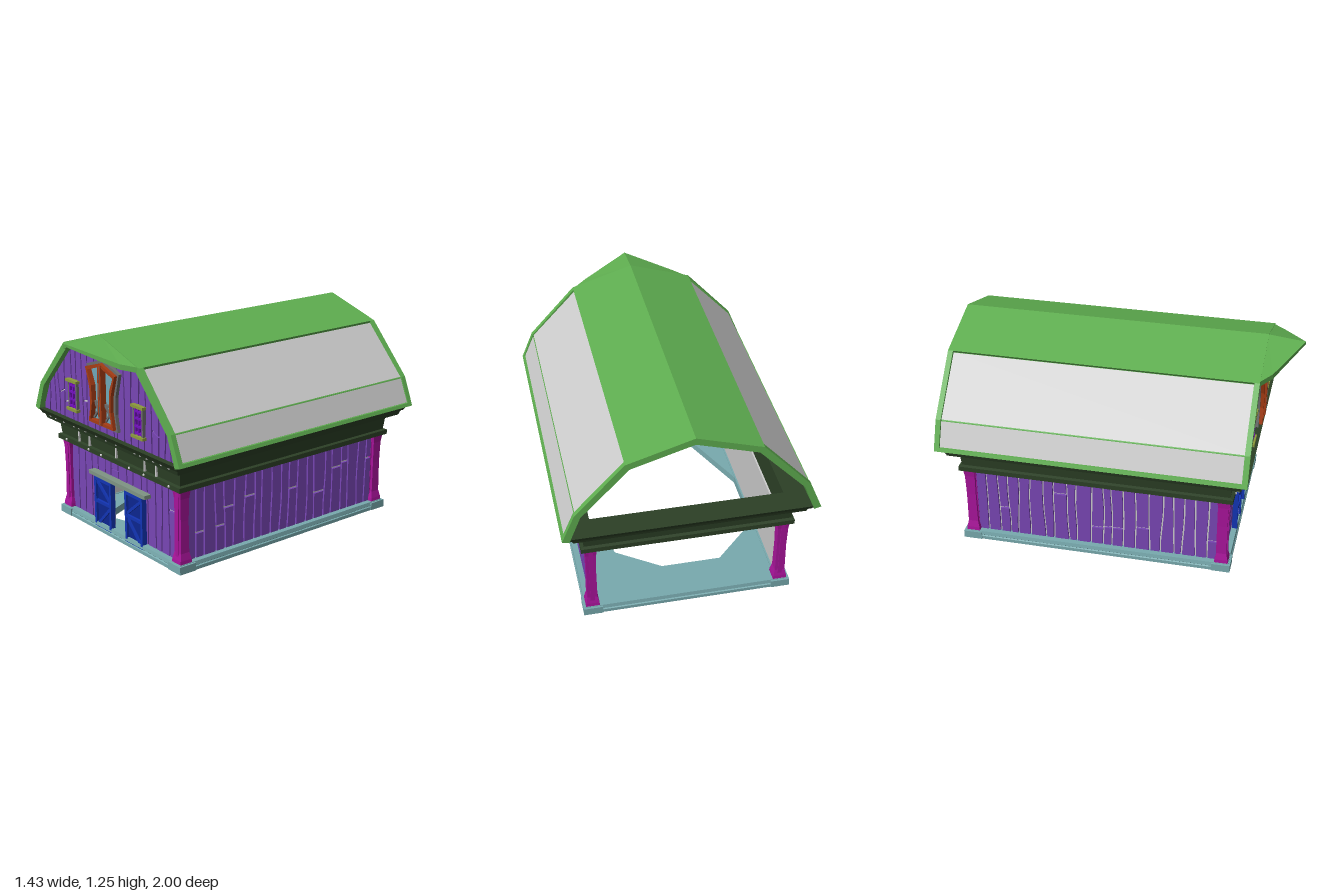
import * as THREE from 'three';
import { mergeGeometries } from 'three/addons/utils/BufferGeometryUtils.js';

const mat = (color, side = THREE.FrontSide) => new THREE.MeshStandardMaterial({ color, side, flatShading: true });
const GREY = mat(0xcccccc, THREE.DoubleSide), PURPLE = mat(0x7846b4), GREEN = mat(0x5fae50, THREE.DoubleSide);
const BEAM = mat(0x2c4026), MAGENTA = mat(0xa8149a), TEAL = mat(0x78aaae), BLUE = mat(0x1234b4), NAVY = mat(0x0c2690);
const RED = mat(0xa63c14), GLASS = mat(0x70a8b8), OLIVE = mat(0x8c9a3c), VIOLET = mat(0x7410c0), TRIM = mat(0x6c6c6c);
const RAIL = mat(0x7f9484), DARK = mat(0x2c1c48);

export function createModel() {
  const root = new THREE.Group();
  root.name = 'barn';
  let seed = 7;
  const rnd = () => (seed = (seed * 16807) % 2147483647) / 2147483647;

  const add = (name, geo, material, parent = root) => {
    const m = new THREE.Mesh(geo, material);
    m.name = name;
    parent.add(m);
    return m;
  };
  const box = (x0, x1, y0, y1, z0, z1) =>
    new THREE.BoxGeometry(x1 - x0, y1 - y0, z1 - z0).translate((x0 + x1) / 2, (y0 + y1) / 2, (z0 + z1) / 2);
  const shape = (pts) => new THREE.Shape(pts.map(([x, y]) => new THREE.Vector2(x, y)));
  const slab = (pts, z0, z1, hole) => {
    const s = shape(pts);
    if (hole) s.holes.push(shape(hole));
    return new THREE.ExtrudeGeometry(s, { depth: z1 - z0, bevelEnabled: false }).translate(0, 0, z0);
  };
  // slanted bar between two points on a front face
  const bar = (x1, y1, x2, y2, w, z0, z1) =>
    new THREE.BoxGeometry(Math.hypot(x2 - x1, y2 - y1), w, z1 - z0)
      .rotateZ(Math.atan2(y2 - y1, x2 - x1)).translate((x1 + x2) / 2, (y1 + y2) / 2, (z0 + z1) / 2);
  const flip = (pts) => pts.map(([x, ...r]) => [-x, ...r]).reverse();
  const faces = (polys) => {
    const pos = [];
    for (const p of polys) for (let i = 1; i < p.length - 1; i++) pos.push(...p[0], ...p[i], ...p[i + 1]);
    const g = new THREE.BufferGeometry();
    g.setAttribute('position', new THREE.Float32BufferAttribute(pos, 3));
    g.computeVertexNormals();
    return g;
  };
  // closed moulding profile [outset, y] swept round a rectangle centred at z = -0.1
  const ring = (hx, hz, profile) => {
    const corners = [[1, 1], [1, -1], [-1, -1], [-1, 1]], polys = [];
    const at = (c, k) => {
      const [sx, sz] = corners[c % 4], [o, y] = profile[k % profile.length];
      return [sx * (hx + o), y, sz * (hz + o) - 0.1];
    };
    for (let c = 0; c < 4; c++) for (let k = 0; k < profile.length; k++)
      polys.push([at(c, k), at(c + 1, k), at(c + 1, k + 1), at(c, k + 1)]);
    return faces(polys);
  };
  // row of crooked planks with gaps between them
  const planks = (u0, u1, n, lo, hi, z) => {
    const edges = [], geos = [];
    for (let i = 0; i <= n; i++) {
      const k = i === 0 || i === n ? 0 : 1;
      const u = u0 + (u1 - u0) * (i + k * (rnd() - 0.5) * 0.4) / n;
      const a = k * 0.005 * rnd(), ph = rnd() * 6, s = k * (rnd() - 0.5) * 0.03;
      edges.push((t) => u + a * Math.sin(t * 6 + ph) + s * (t - 0.5));
    }
    for (let i = 0; i < n; i++) {
      const cut = 0.25 + rnd() * 0.5;
      const parts = rnd() < 0.3 ? [[0, cut - 0.015], [cut + 0.015, 1]] : [[0, 1]];
      for (const [t0, t1] of parts) {
        const left = [], right = [];
        for (let j = 0; j <= 5; j++) {
          const t = t0 + (t1 - t0) * j / 5, l = edges[i](t) + 0.005, r = edges[i + 1](t) - 0.005;
          left.push([l, lo + t * (hi(l) - lo)]);
          right.push([r, lo + t * (hi(r) - lo)]);
        }
        geos.push(slab([...right, ...left.reverse()], z, z + 0.014));
      }
    }
    return mergeGeometries(geos);
  };

  // stone base, corner blocks and floor with its opening
  add('baseRim', ring(0.585, 0.785, [[0.015, 0], [0.015, 0.02], [0.008, 0.024], [0.012, 0.028], [0.008, 0.05], [-0.06, 0.05], [-0.06, 0]]), TEAL);
  const hole = [[-0.25, -0.65], [0.1, -0.65], [0.35, -0.48], [0.48, -0.09], [0.4, 0.3], [0.05, 0.5], [-0.28, 0.6], [-0.54, 0.02], [-0.52, -0.38]];
  add('floor', slab([[-0.56, -0.86], [0.56, -0.86], [0.56, 0.66], [-0.56, 0.66]], 0, 0.045, hole).rotateX(Math.PI / 2).translate(0, 0.046, 0), TEAL);

  // corner posts
  const postProfile = [[0.04, 0.05], [0.038, 0.07], [0.029, 0.11], [0.027, 0.3], [0.03, 0.43], [0.038, 0.49]]
    .map(([r, y]) => new THREE.Vector2(r * Math.SQRT2, y));
  for (const x of [-0.55, 0.55]) for (const z of [-0.85, 0.65]) {
    add('cornerPost', new THREE.LatheGeometry(postProfile, 4, Math.PI / 4).translate(x, 0, z), MAGENTA);
    add('postRib', box(x - 0.012, x + 0.012, 0.06, 0.48, z - 0.034, z + 0.034), MAGENTA);
    add('baseCorner', box(x - 0.055, x + 0.055, 0, 0.046, z - 0.055, z + 0.055), TEAL);
  }

  // lower walls: grey backing with planks on the outside
  const top = () => 0.49;
  add('frontWallBacking', slab([[-0.54, 0.04], [-0.11, 0.04], [-0.11, 0.345], [0.11, 0.345], [0.11, 0.04], [0.54, 0.04], [0.54, 0.49], [-0.54, 0.49]], 0.635, 0.646), GREY);
  add('frontPlanks', mergeGeometries([
    planks(-0.53, -0.11, 6, 0.05, top, 0.646), planks(-0.11, 0.11, 3, 0.345, top, 0.646), planks(0.11, 0.53, 6, 0.05, top, 0.646)]), PURPLE);
  for (const s of [-1, 1]) {
    const side = new THREE.Group();
    side.name = 'sideWall';
    side.rotation.y = s * Math.PI / 2;
    side.position.z = -0.1;
    add('sideBacking', box(-0.75, 0.75, 0.04, 0.49, 0.535, 0.546), GREY, side);
    add('sidePlanks', planks(-0.73, 0.73, 21, 0.05, top, 0.546), PURPLE, side);
    root.add(side);
  }

  // dark beam belt and cornice
  add('beltCornice', ring(0.585, 0.785, [[0.02, 0.48], [0.02, 0.508], [0.002, 0.513], [0.012, 0.605], [0.065, 0.607], [0.075, 0.635],
    [0.085, 0.638], [0.105, 0.67], [-0.04, 0.67], [-0.04, 0.48]]), BEAM);
  const stud = (x, y, z) => new THREE.SphereGeometry(0.008, 8, 6).translate(x, y, z);
  add('cornicePins', mergeGeometries([-0.59, -0.53, -0.44, -0.33, -0.28, -0.21, -0.1, 0, 0.1, 0.28, 0.33, 0.39, 0.45, 0.52, 0.59]
    .map((x) => stud(x, 0.635, 0.762))), GREY);
  add('beltPins', mergeGeometries([-0.51, -0.27, -0.14, 0.14, 0.28, 0.51].map((x) => stud(x, 0.495, 0.706))), GREY);
  for (const x of [-0.385, -0.275, 0, 0.275, 0.385]) add('beltStrap', box(x - 0.005, x + 0.005, 0.512, 0.606, 0.68, 0.7), GREY);

  // gable
  const inner = [[0, 1.215], [0.345, 1.108], [0.612, 0.825], [0.675, 0.66]];
  const gableTop = (x) => {
    const a = Math.min(Math.abs(x), 0.674), i = inner.findIndex((p) => p[0] > a), [p, q] = [inner[i - 1], inner[i]];
    return p[1] + (q[1] - p[1]) * (a - p[0]) / (q[0] - p[0]);
  };
  add('gableBacking', slab([...flip(inner), ...inner.slice(1)].reverse(), 0.73, 0.741), GREY);
  add('gablePlanks', mergeGeometries([planks(-0.665, 0, 11, 0.662, gableTop, 0.741), planks(0, 0.665, 11, 0.662, gableTop, 0.741)]), PURPLE);

  // gambrel roof: end ribs, recessed shell, grey side panels
  const outer = [[0, 1.255], [0.37, 1.14], [0.645, 0.84], [0.715, 0.67]];
  const shell = [[0, 1.255], [0.37, 1.14], [0.36, 1.125], [0.634, 0.833], [0.695, 0.69], [0.707, 0.69], [0.715, 0.67]];
  const band = (out) => [...flip(out), ...out.slice(1), ...[...inner].reverse(), ...flip(inner).reverse().slice(1)];
  add('roofShell', slab(band(shell), -0.97, 0.762), GREEN);
  add('frontRoofRib', slab(band(outer), 0.76, 0.79), GREEN);
  add('backRoofRib', slab(band(outer), -1, -0.97), GREEN);
  for (const s of [-1, 1]) for (const [p, q] of [[[0.364, 1.125], [0.634, 0.838]], [[0.638, 0.829], [0.697, 0.691]]]) {
    const strip = [[...p, -0.968], [...q, -0.968], [...q, 0.758], [...p, 0.758]];
    add('roofPanel', faces([strip.map(([x, y, z]) => [s * (x + 0.003), y + 0.002, z])]), GREY);
  }

  // pointed hood over the loft window
  const rim = [[0.365, 1.14, 0.78], [0.28, 1.155, 0.85], [0, 1.23, 1]];
  const hoodTop = [...rim, ...flip(rim).slice(1)], lower = ([x, y, z]) => [x, y - (z > 0.9 ? 0.015 : 0.03), z];
  const ridge = [0, 1.254, 0.78], hood = [];
  for (let i = 0; i < hoodTop.length - 1; i++) {
    const a = hoodTop[i], b = hoodTop[i + 1];
    hood.push([ridge, b, a], [lower(ridge), lower(a), lower(b)], [a, b, lower(b), lower(a)]);
  }
  add('roofHood', faces(hood), GREEN);

  // loft window
  const outline = (w, y0, y1, y2) => {
    const h = [[w, y0], [w - 0.02, y0 + 0.1], [w - 0.015, y0 + 0.2], [w + 0.022, y1]];
    return [...h, [0, y2], ...flip(h)];
  };
  const o1 = outline(0.137, 0.715, 1.055, 1.11), o2 = outline(0.122, 0.728, 1.045, 1.09), o3 = outline(0.104, 0.745, 1.03, 1.07);
  add('loftWindowTrim', slab(o1, 0.74, 0.775, o2), TRIM);
  add('loftWindowFrame', slab(o2, 0.74, 0.795, o3), RED);
  add('loftWindowGlass', slab(o3, 0.74, 0.765), GLASS);
  add('loftWindowMullion', box(-0.016, 0.016, 0.73, 1.08, 0.76, 0.8), RED);
  add('loftWindowGroove', box(-0.002, 0.002, 0.735, 1.075, 0.79, 0.802), TRIM);
  for (const s of [-1, 1]) {
    add('loftWindowBraces', mergeGeometries([
      bar(s * 0.016, 0.85, s * 0.092, 0.85, 0.012, 0.76, 0.778), bar(s * 0.016, 0.75, s * 0.09, 0.845, 0.011, 0.76, 0.775),
      bar(s * 0.016, 0.845, s * 0.1, 0.75, 0.011, 0.76, 0.776)]), TRIM);
    // small shuttered window
    const x = s * 0.325, w = new THREE.Group();
    w.name = 'smallWindow';
    add('windowRecess', box(x - 0.045, x + 0.045, 0.745, 0.91, 0.75, 0.758), DARK, w);
    for (const e of [-1, 1]) add('windowJamb', box(x + e * 0.04 - 0.006, x + e * 0.04 + 0.006, 0.745, 0.91, 0.75, 0.772), TRIM, w);
    for (const y of [0.74, 0.913]) add('windowSill', box(x - 0.055, x + 0.055, y - 0.008, y + 0.008, 0.75, 0.782), OLIVE, w);
    const bars = [-0.03, 0, 0.03].map((d) => box(x + d - 0.005, x + d + 0.005, 0.75, 0.9, 0.755, 0.77));
    for (const y of [0.76, 0.8, 0.845, 0.885]) bars.push(box(x - 0.033, x + 0.033, y - 0.006, y + 0.006, 0.755, 0.772));
    add('windowBars', mergeGeometries(bars), VIOLET, w);
    root.add(w);

    // sliding door
    const X = (v) => s * v, door = new THREE.Group();
    door.name = 'slidingDoor';
    add('doorPanel', box(Math.min(X(0.08), X(0.235)), Math.max(X(0.08), X(0.235)), 0.01, 0.33, 0.665, 0.68), NAVY, door);
    const v = [[0.081, 0.005, 0.077, 0.335], [0.232, 0.005, 0.232, 0.335], [0.072, 0.015, 0.24, 0.015], [0.072, 0.325, 0.24, 0.325],
      [0.075, 0.185, 0.237, 0.185], [0.085, 0.2, 0.228, 0.315], [0.085, 0.17, 0.228, 0.025]];
    add('doorFrame', mergeGeometries(v.map(([a, b, c, d], i) => bar(X(a), b, X(c), d, 0.018, 0.664, i > 4 ? 0.69 : 0.695))), BLUE, door);
    root.add(door);
  }
  add('doorRail', box(-0.28, 0.28, 0.343, 0.366, 0.655, 0.705), RAIL);
  return root;
}
